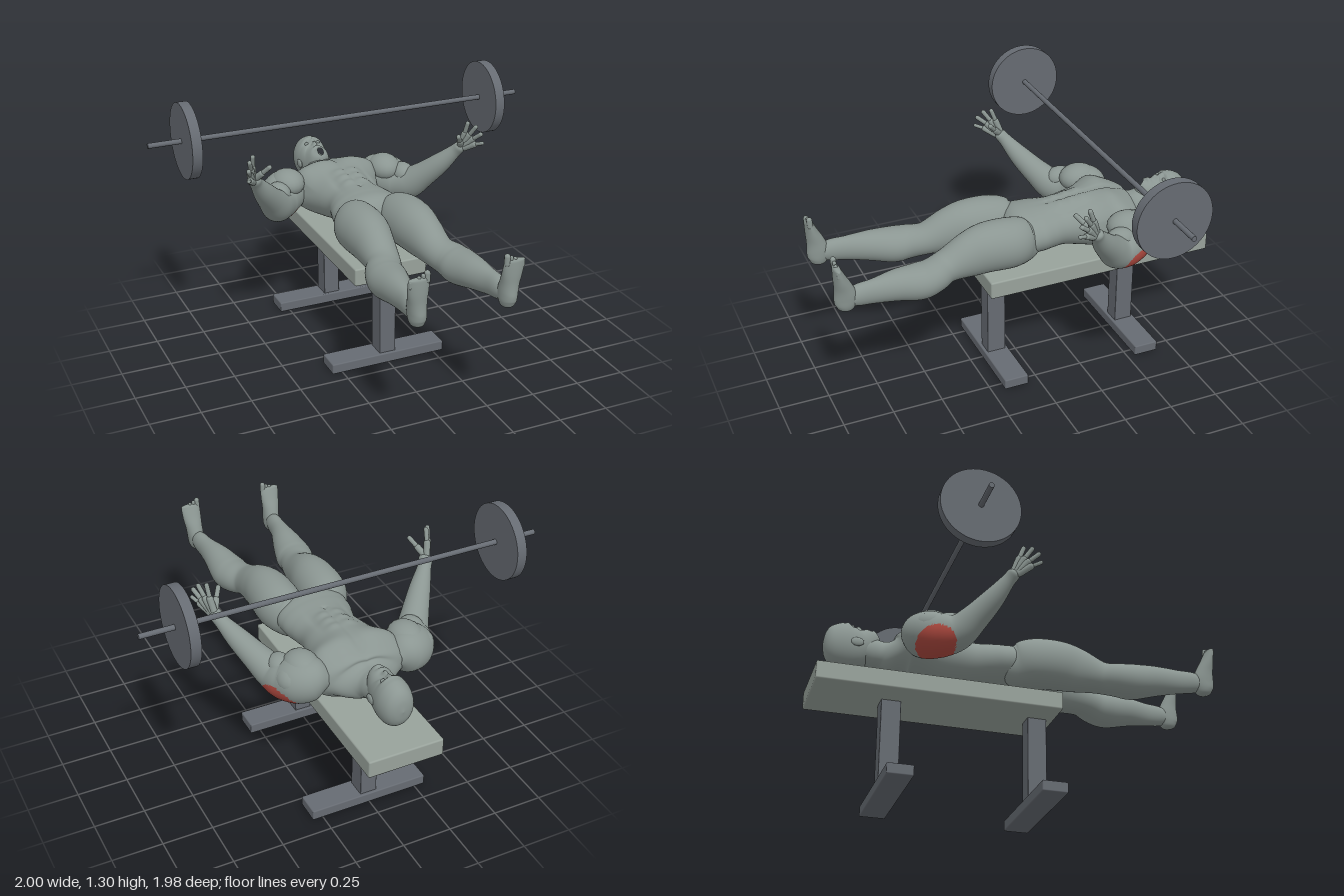
import * as THREE from 'three';
import { RoundedBoxGeometry } from 'three/addons/geometries/RoundedBoxGeometry.js';

const flat = (name, color) => {
  const m = new THREE.MeshStandardMaterial({ color });
  m.name = name;
  return m;
};

// Smooth closed skin through elliptical sections [x, y, z, halfWidth, halfDepth]
function loft(sections, ref, rings = 60, sides = 40) {
  const path = new THREE.CatmullRomCurve3(sections.map(s => new THREE.Vector3(s[0], s[1], s[2])), false, 'catmullrom');
  const size = new THREE.CatmullRomCurve3(sections.map(s => new THREE.Vector3(s[3], s[4], 0)), false, 'catmullrom');
  const pos = [], idx = [];
  for (let i = 0; i <= rings; i++) {
    const t = i / rings, c = path.getPoint(t), r = size.getPoint(t);
    const tan = path.getTangent(t);
    const s = ref.clone().cross(tan).normalize(), u = tan.clone().cross(s);
    for (let j = 0; j < sides; j++) {
      const a = j / sides * Math.PI * 2;
      const p = c.clone().addScaledVector(s, Math.cos(a) * Math.max(r.x, 0.001))
        .addScaledVector(u, Math.sin(a) * Math.max(r.y, 0.001));
      pos.push(p.x, p.y, p.z);
      if (i < rings) {
        const k = i * sides + j, n = i * sides + (j + 1) % sides;
        idx.push(k, n, k + sides, n, n + sides, k + sides);
      }
    }
  }
  const g = new THREE.BufferGeometry();
  g.setAttribute('position', new THREE.Float32BufferAttribute(pos, 3));
  g.setIndex(idx);
  g.computeVertexNormals();
  return g;
}

// Raise (or press in) the upward side of a skin around soft spots [x, z, radiusX, radiusZ, height]
function sculpt(g, minY, spots) {
  const p = g.attributes.position;
  for (let i = 0; i < p.count; i++) {
    if (p.getY(i) < minY) continue;
    const x = p.getX(i), z = p.getZ(i);
    let d = 0;
    for (const [sx, sz, rx, rz, h] of spots) d += h * Math.exp(-(((x - sx) / rx) ** 2) - ((z - sz) / rz) ** 2);
    p.setY(i, p.getY(i) + d);
  }
  g.computeVertexNormals();
  return g;
}

// Sort faces into two material groups by a test on the face centre
function paint(g, test) {
  const p = g.attributes.position, lists = [[], []];
  const ix = g.index.array;
  for (let i = 0; i < ix.length; i += 3) {
    const c = new THREE.Vector3();
    for (let k = 0; k < 3; k++) c.add(new THREE.Vector3().fromBufferAttribute(p, ix[i + k]));
    lists[test(c.divideScalar(3)) ? 1 : 0].push(ix[i], ix[i + 1], ix[i + 2]);
  }
  g.setIndex([...lists[0], ...lists[1]]);
  g.addGroup(0, lists[0].length, 0);
  g.addGroup(lists[0].length, lists[1].length, 1);
  return g;
}

export function createModel() {
  const model = new THREE.Group();
  const skin = flat('skin grey', 0x8b9692), padMat = flat('pad grey', 0x98a29b);
  const steel = flat('steel', 0x666b72), red = flat('muscle red', 0xb04a40);
  const Y = new THREE.Vector3(0, 1, 0), Z = new THREE.Vector3(0, 0, 1);
  const add = (name, geo, mat, x = 0, y = 0, z = 0) => {
    const m = new THREE.Mesh(geo, mat);
    m.name = name;
    m.position.set(x, y, z);
    model.add(m);
    return m;
  };
  const ball = (name, x, y, z, rx, ry, rz) =>
    add(name, new THREE.SphereGeometry(1, 20, 14), skin, x, y, z).scale.set(rx, ry, rz);
  const finger = (name, a, b, r) => {
    const A = new THREE.Vector3(...a), B = new THREE.Vector3(...b), d = B.clone().sub(A);
    const m = add(name, new THREE.CapsuleGeometry(r, d.length(), 4, 10), skin);
    m.position.copy(A).add(B).multiplyScalar(0.5);
    m.quaternion.setFromUnitVectors(Y, d.normalize());
  };

  // Bench
  add('benchPad', new RoundedBoxGeometry(0.38, 0.09, 1.195, 2, 0.008), padMat, 0, 0.515, -0.39);
  for (const z of [0.122, -0.602]) {
    add('benchPost', new RoundedBoxGeometry(0.086, 0.43, 0.096, 2, 0.004), steel, 0, 0.26, z);
    add('benchFoot', new RoundedBoxGeometry(0.606, 0.053, 0.126, 2, 0.006), steel, 0, 0.0265, z);
  }

  // Barbell
  const rod = (r, l, n) => new THREE.CylinderGeometry(r, r, l, n).rotateZ(Math.PI / 2);
  add('bar', rod(0.013, 2, 20), steel, 0, 1.11, -0.397);
  for (const s of [1, -1]) add('weightPlate', rod(0.188, 0.05, 56), steel, s * 0.81, 1.11, -0.397);

  // Torso with chest and stomach muscles
  const torso = loft([
    [0, 0.71, 0.06, 0.03, 0.05], [0, 0.72, 0, 0.17, 0.105], [0, 0.72, -0.08, 0.182, 0.112],
    [0, 0.72, -0.15, 0.165, 0.112], [0, 0.72, -0.22, 0.15, 0.115], [0, 0.717, -0.30, 0.167, 0.127],
    [0, 0.71, -0.40, 0.20, 0.14], [0, 0.705, -0.48, 0.235, 0.14], [0, 0.705, -0.55, 0.235, 0.125],
    [0, 0.70, -0.60, 0.165, 0.095], [0, 0.71, -0.65, 0.09, 0.073], [0, 0.72, -0.70, 0.07, 0.072],
    [0, 0.73, -0.78, 0.06, 0.06]], Y, 110, 72);
  const spots = [[0, -0.48, 0.012, 0.1, -0.012], [0, -0.27, 0.008, 0.12, -0.008], [0, -0.165, 0.008, 0.01, -0.01]];
  for (const s of [1, -1]) {
    spots.push([s * 0.1, -0.47, 0.075, 0.07, 0.022], [s * 0.2, -0.46, 0.06, 0.08, 0.03]);
    for (const z of [-0.34, -0.28, -0.22]) spots.push([s * 0.04, z, 0.028, 0.022, 0.009]);
    spots.push([s * 0.09, -0.26, 0.014, 0.1, -0.007], [s * 0.05, -0.6, 0.04, 0.015, 0.006]);
  }
  add('torso', sculpt(torso, 0.74, spots), skin);

  // Head and face
  const head = loft([
    [0, 0.825, -0.684, 0.015, 0.02], [0, 0.805, -0.70, 0.046, 0.048], [0, 0.765, -0.74, 0.067, 0.09],
    [0, 0.745, -0.79, 0.08, 0.112], [0, 0.74, -0.85, 0.086, 0.118], [0, 0.74, -0.90, 0.073, 0.098],
    [0, 0.74, -0.927, 0.045, 0.06], [0, 0.74, -0.938, 0.001, 0.001]], Y, 80, 64);
  add('head', sculpt(head, 0.77, [
    [0, -0.767, 0.013, 0.014, 0.02], [0, -0.79, 0.009, 0.025, 0.012], [0, -0.735, 0.024, 0.007, 0.008],
    [0, -0.725, 0.022, 0.005, 0.005], [0, -0.695, 0.022, 0.012, 0.008],
    [0.032, -0.803, 0.016, 0.011, -0.011], [-0.032, -0.803, 0.016, 0.011, -0.011],
    [0.032, -0.825, 0.026, 0.009, 0.005], [-0.032, -0.825, 0.026, 0.009, 0.005]]), skin);

  for (const s of [1, -1]) {
    ball('eye', s * 0.032, 0.832, -0.803, 0.012, 0.011, 0.008);
    ball('ear', s * 0.081, 0.735, -0.785, 0.01, 0.022, 0.032);

    // Leg
    add('leg', loft([
      [0.085, 0.715, -0.08, 0.06, 0.07], [0.1, 0.71, 0, 0.092, 0.112], [0.12, 0.725, 0.08, 0.116, 0.125],
      [0.124, 0.73, 0.2, 0.112, 0.125], [0.13, 0.715, 0.3, 0.096, 0.113], [0.142, 0.687, 0.42, 0.081, 0.08],
      [0.172, 0.672, 0.5, 0.09, 0.082], [0.184, 0.667, 0.57, 0.094, 0.087], [0.195, 0.681, 0.68, 0.073, 0.077],
      [0.21, 0.687, 0.8, 0.046, 0.062], [0.217, 0.69, 0.88, 0.04, 0.054], [0.22, 0.685, 0.94, 0.03, 0.035]]
      .map(([x, ...r]) => [s * x, ...r]), Y, 80, 44), skin);

    // Foot and toes
    add('foot', loft([
      [0.22, 0.625, 0.948, 0.002, 0.002], [0.22, 0.635, 0.946, 0.026, 0.032], [0.221, 0.66, 0.94, 0.038, 0.05],
      [0.222, 0.70, 0.937, 0.042, 0.055], [0.225, 0.75, 0.945, 0.044, 0.044], [0.228, 0.80, 0.958, 0.049, 0.032],
      [0.23, 0.85, 0.969, 0.051, 0.02], [0.23, 0.868, 0.972, 0.046, 0.014], [0.23, 0.875, 0.972, 0.002, 0.002]]
      .map(([x, ...r]) => [s * x, ...r]), Z, 44, 32), skin);
    for (let i = 0; i < 5; i++) {
      const x = s * (0.192 + i * 0.0195), r = i ? 0.0095 : 0.014;
      finger('toe', [x, 0.855 - i * 0.005, 0.972], [x, 0.888 - i * 0.008, 0.973], r);
    }

    // Arm with the highlighted back muscle
    const arm = loft([
      [0.17, 0.735, -0.555, 0.04, 0.04], [0.22, 0.732, -0.53, 0.095, 0.095], [0.285, 0.715, -0.49, 0.113, 0.112],
      [0.335, 0.698, -0.43, 0.098, 0.102], [0.372, 0.71, -0.365, 0.08, 0.085], [0.42, 0.765, -0.305, 0.067, 0.067],
      [0.482, 0.845, -0.235, 0.052, 0.052], [0.535, 0.92, -0.18, 0.034, 0.034], [0.557, 0.953, -0.155, 0.034, 0.028],
      [0.565, 0.965, -0.147, 0.01, 0.01]].map(([x, ...r]) => [s * x, ...r]), Y, 90, 56);
    const inRed = c => ((Math.abs(c.x) - 0.34) / 0.13) ** 2 + ((c.y - 0.645) / 0.08) ** 2 + ((c.z + 0.465) / 0.095) ** 2 < 1;
    add('arm', paint(arm, inRed), [skin, red]);

    // Shoulder heads
    ball('frontShoulder', s * 0.27, 0.775, -0.47, 0.085, 0.07, 0.1);
    ball('sideShoulder', s * 0.325, 0.735, -0.49, 0.08, 0.07, 0.085);
    ball('upperArmMuscle', s * 0.345, 0.755, -0.4, 0.06, 0.055, 0.075);

    // Hand
    const f = (n, a, b, r) => finger(n, [s * a[0], a[1], a[2]], [s * b[0], b[1], b[2]], r);
    const tips = [[0.572, 1.085, -0.115], [0.6, 1.072, -0.082], [0.615, 1.04, -0.055], [0.62, 0.995, -0.045]];
    const knuckles = [[0.568, 1.025, -0.138], [0.583, 1.02, -0.118], [0.594, 1.003, -0.1], [0.599, 0.978, -0.088]];
    knuckles.forEach((k, i) => {
      f('palm', [0.557 + i * 0.004, 0.96 - i * 0.004, -0.16 + i * 0.008], k, 0.0165);
      f('finger', k, tips[i], i === 3 ? 0.0095 : 0.0115);
    });
    f('thumbBase', [0.552, 0.96, -0.15], [0.53, 0.995, -0.115], 0.017);
    f('thumb', [0.53, 0.995, -0.115], [0.503, 1.035, -0.08], 0.012);
  }
  return model;
}
